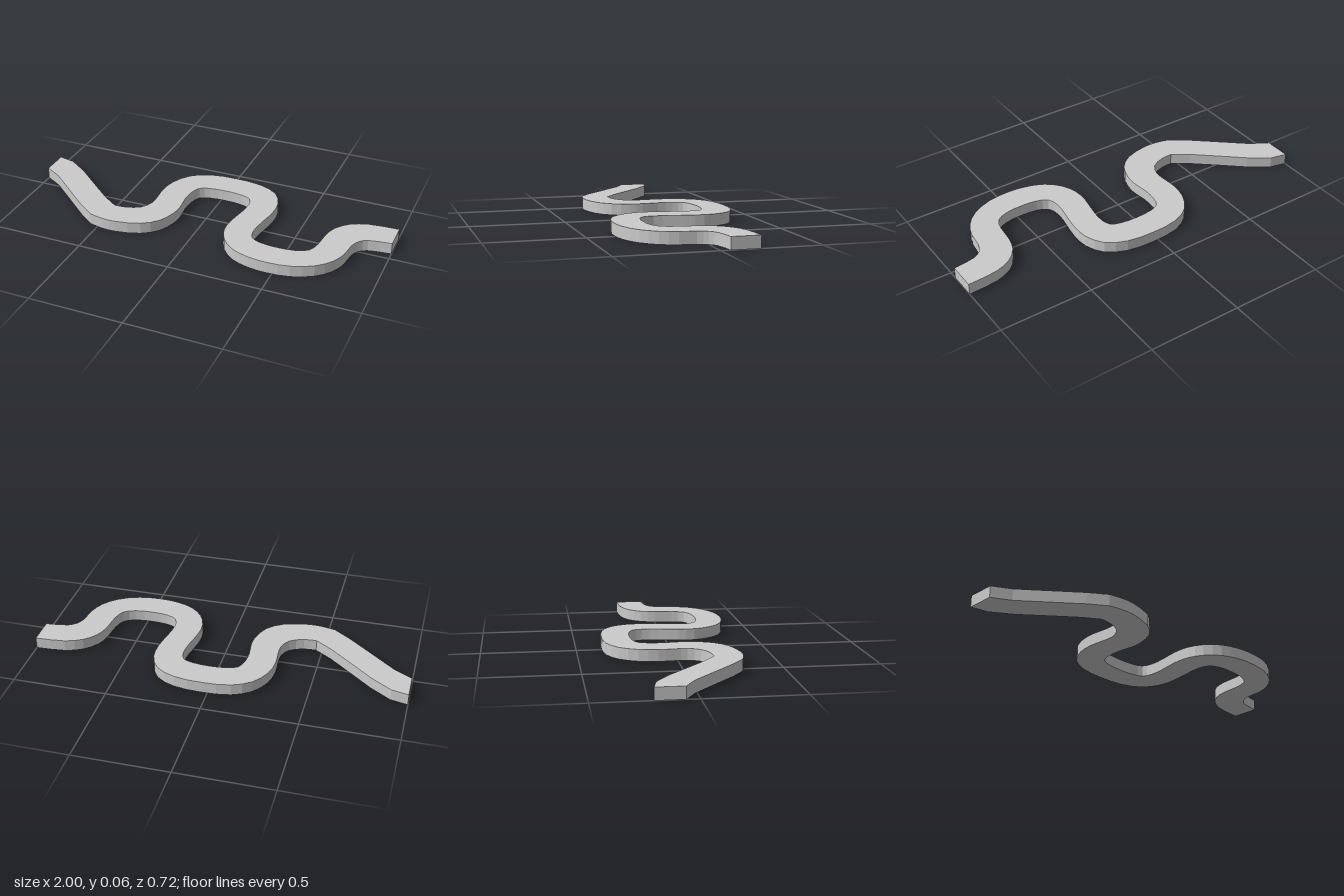
import * as THREE from 'three';

const HEIGHT = 0.062;

// Bank outlines as [x, z], left end to right end: straight run first, then the curved meanders
const backStraight = [[-1, -0.21], [-0.91, -0.19], [-0.8, -0.115], [-0.69, -0.02], [-0.555, 0.095]];
const backCurve = [
  [-0.467, 0.155], [-0.4, 0.15], [-0.325, 0.115], [-0.293, 0.05], [-0.293, -0.02], [-0.298, -0.1],
  [-0.28, -0.2], [-0.22, -0.295], [-0.12, -0.35], [0.03, -0.365], [0.18, -0.35], [0.285, -0.295],
  [0.335, -0.2], [0.34, -0.1], [0.322, 0.01], [0.31, 0.11], [0.328, 0.175], [0.385, 0.202],
  [0.47, 0.21], [0.565, 0.202], [0.63, 0.17], [0.655, 0.1], [0.665, 0], [0.69, -0.08],
  [0.75, -0.145], [0.84, -0.183], [1, -0.195],
];
const frontStraight = [[-1, -0.065], [-0.905, -0.01], [-0.635, 0.22]];
const frontCurve = [
  [-0.545, 0.285], [-0.465, 0.303], [-0.39, 0.303], [-0.26, 0.27], [-0.18, 0.205], [-0.142, 0.11],
  [-0.135, 0.04], [-0.145, -0.05], [-0.14, -0.13], [-0.118, -0.185], [-0.065, -0.207], [0.03, -0.215],
  [0.12, -0.207], [0.175, -0.185], [0.193, -0.13], [0.185, -0.04], [0.165, 0.07], [0.167, 0.16],
  [0.2, 0.24], [0.27, 0.31], [0.37, 0.348], [0.47, 0.358], [0.59, 0.345], [0.7, 0.295],
  [0.772, 0.22], [0.805, 0.135], [0.815, 0.05], [0.838, 0], [0.88, -0.03], [1, -0.047],
];

function bank(straight, curve) {
  const toVec = ([x, z]) => new THREE.Vector3(x, -z, 0);
  const spline = new THREE.CatmullRomCurve3(curve.map(toVec), false, 'centripetal');
  return [...straight.map(toVec), ...spline.getPoints((curve.length - 1) * 2)]
    .map((p) => new THREE.Vector2(p.x, p.y));
}

export function createModel() {
  const group = new THREE.Group();
  group.name = 'windingPath';

  // One slab between both banks, extruded up from the ground
  const outline = [...bank(frontStraight, frontCurve), ...bank(backStraight, backCurve).reverse()];
  const geometry = new THREE.ExtrudeGeometry(new THREE.Shape(outline), { depth: HEIGHT, bevelEnabled: false });
  geometry.rotateX(-Math.PI / 2);

  const slab = new THREE.Mesh(geometry, new THREE.MeshStandardMaterial({ color: 0xcccccc }));
  slab.name = 'pathSlab';
  group.add(slab);
  return group;
}
